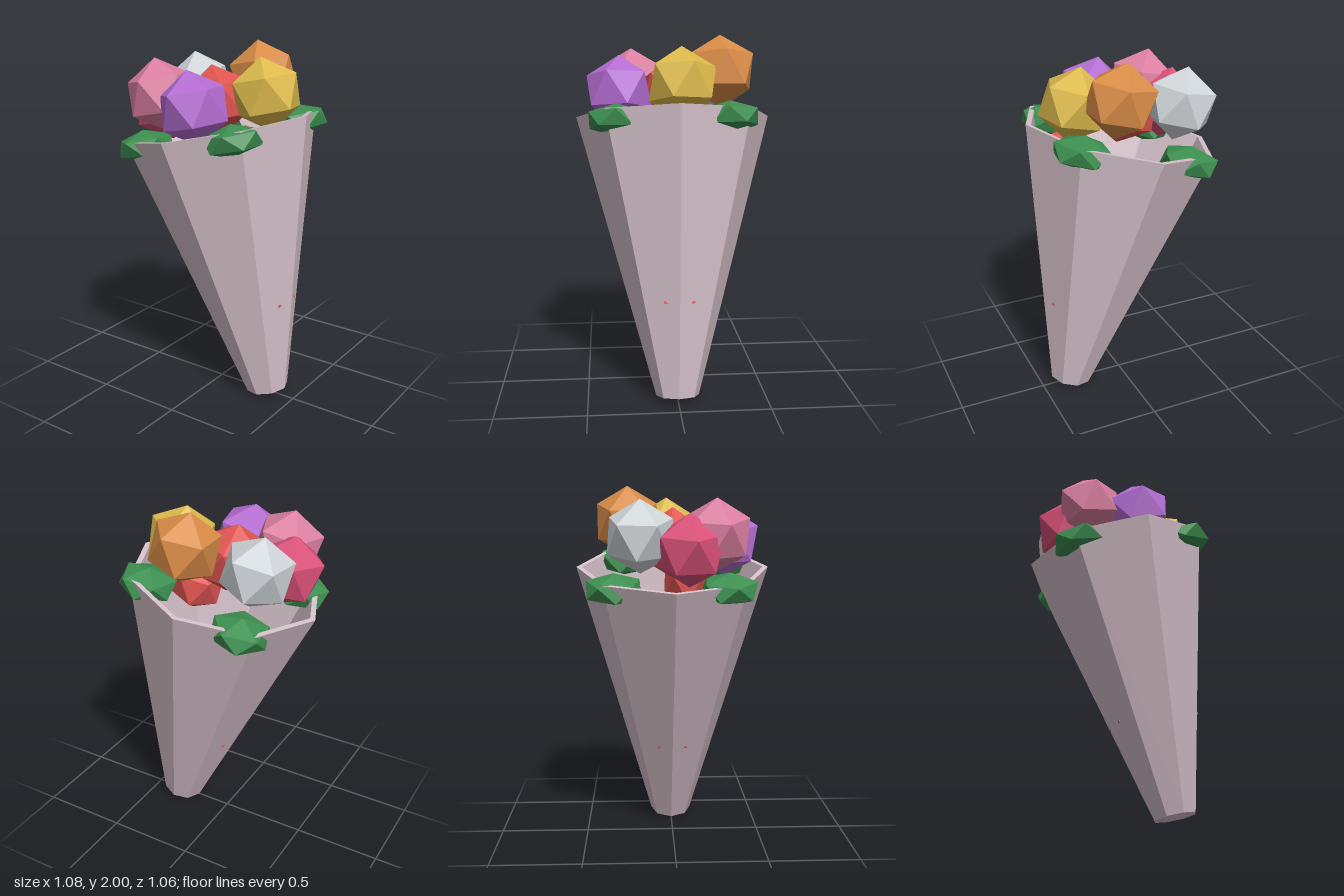
import * as THREE from 'three';

const TILT = -0.21; // the whole bouquet leans back

function mat(name, color, side = THREE.FrontSide) {
  const m = new THREE.MeshStandardMaterial({ color, side, flatShading: true });
  m.name = name;
  return m;
}

// Twenty-sided bloom with a corner pointing up; spin is the bearing of one upper corner
function bloomGeometry(radius, spinDeg, flatten = 1) {
  const g = new THREE.IcosahedronGeometry(radius, 0);
  g.rotateX(-Math.atan((1 + Math.sqrt(5)) / 2));
  g.rotateY(THREE.MathUtils.degToRad(90 - spinDeg));
  g.scale(1, flatten, 1);
  return g;
}

export function createModel() {
  const model = new THREE.Group();
  model.name = 'bouquet';

  const red = mat('red', 0xdf5550);
  const wrapPink = mat('wrapPink', 0xd6c1ca, THREE.DoubleSide);
  const green = mat('leafGreen', 0x3d8f50);

  const add = (name, geometry, material, x, y, z) => {
    const mesh = new THREE.Mesh(geometry, material);
    mesh.name = name;
    mesh.position.set(x, y, z);
    mesh.rotation.x = TILT;
    model.add(mesh);
    return mesh;
  };

  // Eight-sided hollow paper cone with a thin rim
  const profile = [[0, 0], [0.12, 0], [0.54, 1.56], [0.51, 1.56], [0.095, 0.03], [0, 0.03]]
    .map(([r, y]) => new THREE.Vector2(r, y));
  const wrap = add('paperWrap', new THREE.LatheGeometry(profile, 8), wrapPink, 0, 0.025, 0.325);

  // Flat tie inside the wrap whose corners just break through the paper
  const tie = new THREE.Mesh(new THREE.BoxGeometry(0.17, 0.012, 0.475), red);
  tie.name = 'stemTie';
  tie.position.y = 0.54;
  wrap.add(tie);

  // Blooms: name, material, x, y, z, spin
  const blooms = [
    ['redBloom', red, 0, 1.685, -0.03, 63],
    ['pinkBloom', mat('pink', 0xdb7fa0), -0.224, 1.73, -0.248, -39],
    ['crimsonBloom', mat('crimson', 0xd95078), -0.08, 1.65, -0.325, 44],
    ['whiteBloom', mat('paleGrey', 0xcfd4d8), 0.182, 1.722, -0.278, 24],
    ['purpleBloom', mat('purple', 0xb46dd2), -0.3, 1.695, 0.028, 41],
    ['yellowBloom', mat('yellow', 0xdcba4c), 0.028, 1.745, 0.267, 2],
    ['orangeBloom', mat('orange', 0xd98c47), 0.252, 1.804, 0.105, 15],
  ];
  for (const [name, material, x, y, z, spin] of blooms) {
    add(name, bloomGeometry(0.2, spin), material, x, y, z);
  }

  // Small bloom tucked low inside the wrap
  add('lowRedBloom', bloomGeometry(0.16, 20), red, -0.1, 1.44, 0.25);

  // Flattened leaf clumps around the rim
  const leaves = [
    ['frontRightLeaf', -0.32, 1.56, 0.29, 20],
    ['frontLeftLeaf', 0.275, 1.575, 0.33, 100],
    ['backLeftLeaf', 0.325, 1.445, -0.26, 12],
    ['backRightLeaf', -0.29, 1.45, -0.31, 40],
  ];
  for (const [name, x, y, z, spin] of leaves) {
    add(name, bloomGeometry(0.17, spin, 0.52), green, x, y, z);
  }

  return model;
}
